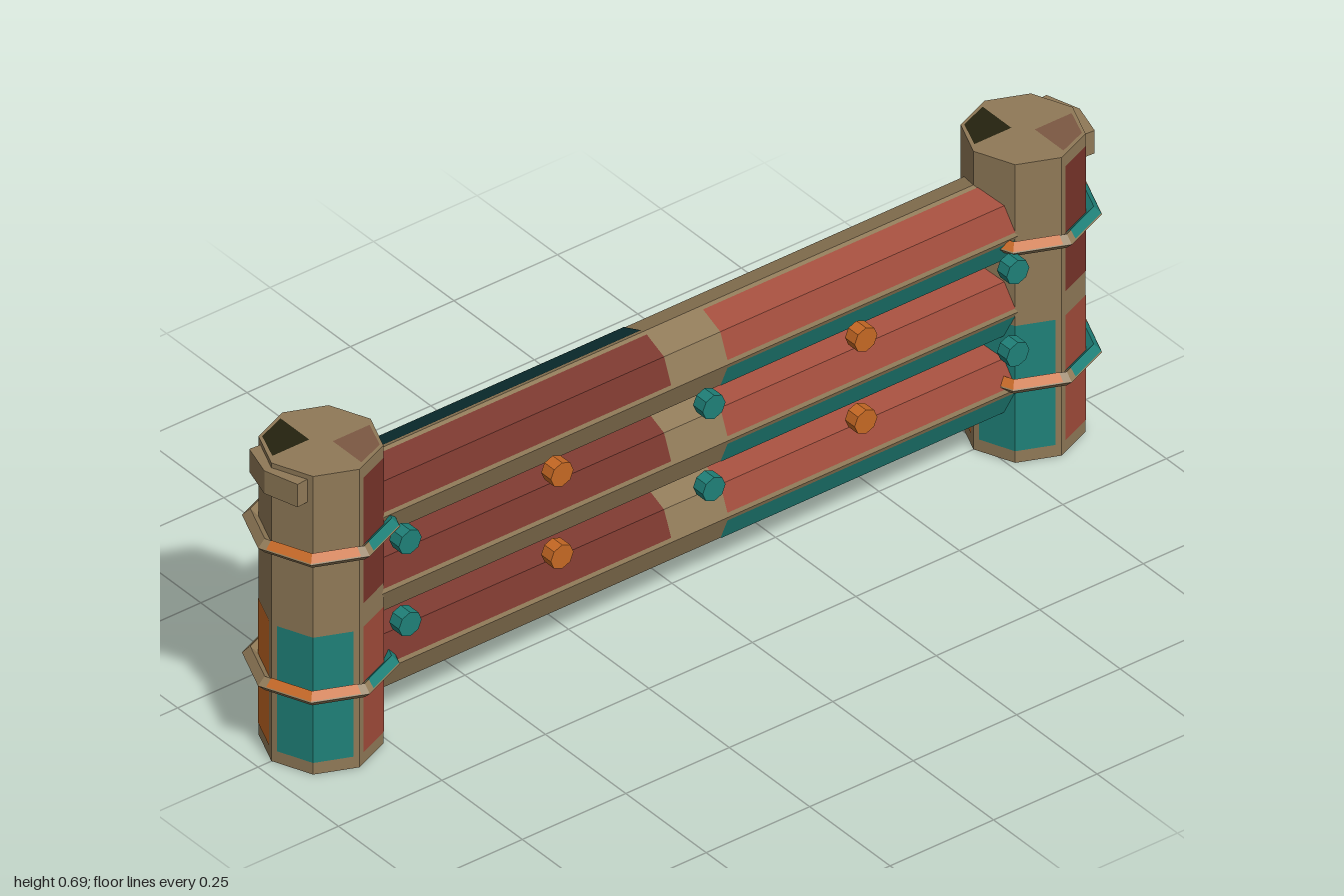
import * as THREE from 'three';

const mat = (name, color) => {
  const m = new THREE.MeshStandardMaterial({ color });
  m.name = name;
  return m;
};
const M = {
  wood: mat('wood brown', 0x8f7957),
  teal: mat('teal', 0x1f8078),
  orange: mat('orange', 0xc56824),
  red: mat('brick red', 0xa04b3a),
  rust: mat('dark rust', 0x78342a),
  deep: mat('deep teal', 0x0b2f31),
  olive: mat('dark olive', 0x25220f),
  tan: mat('muted tan', 0x7c5843),
};
const RAD = Math.PI / 180;
const MARGIN = 6; // unpainted margin of each patch, in degrees
const LIFT = 0.0012;

const add = (parent, name, geo, material) => {
  const mesh = new THREE.Mesh(geo, material);
  mesh.name = name;
  parent.add(mesh);
  return mesh;
};

const flat = (geo) => {
  const g = geo.index ? geo.toNonIndexed() : geo;
  g.computeVertexNormals();
  return g;
};

// Strip of an octagonal surface: profile [radius, y] swept from angle a0 to a1
function octPatch(profile, a0, a1) {
  const angles = [a0];
  for (let a = Math.ceil((a0 + 1) / 45) * 45; a < a1; a += 45) angles.push(a);
  angles.push(a1);
  const point = ([r, y], a) => {
    const k = r * Math.cos(22.5 * RAD) / Math.cos(((a % 45) - 22.5) * RAD);
    return [k * Math.sin(a * RAD), y, k * Math.cos(a * RAD)];
  };
  const pos = [];
  for (let j = 0; j < profile.length - 1; j++) {
    for (let i = 0; i < angles.length - 1; i++) {
      const a = point(profile[j], angles[i]), b = point(profile[j], angles[i + 1]);
      const c = point(profile[j + 1], angles[i + 1]), d = point(profile[j + 1], angles[i]);
      pos.push(...a, ...b, ...c, ...a, ...c, ...d);
    }
  }
  const g = new THREE.BufferGeometry();
  g.setAttribute('position', new THREE.Float32BufferAttribute(pos, 3));
  return flat(g);
}

// Octagonal beam along y with painted quadrants on its lower and upper half
function beam(name, r, length) {
  const g = new THREE.Group();
  g.name = name;
  add(g, name + 'Body', flat(new THREE.CylinderGeometry(r, r, length, 8)), M.wood);
  const m = length * 0.04, h = length / 2, R = r + LIFT;
  const cells = [
    [0, -1, M.teal], [1, -1, M.red], [3, -1, M.orange],
    [1, 1, M.rust], [2, 1, M.deep],
  ];
  for (const [q, half, material] of cells) {
    const y0 = half < 0 ? -h + m : m, y1 = half < 0 ? -m : h - m;
    add(g, name + 'Paint', octPatch([[R, y0], [R, y1]], q * 90 + MARGIN, q * 90 + 90 - MARGIN), material);
  }
  return g;
}

// Diamond-section octagonal band with painted quadrants
function band(y) {
  const g = new THREE.Group();
  g.name = 'band';
  const r = 0.136, t = 0.016;
  add(g, 'bandBody', flat(new THREE.TorusGeometry(r, t, 4, 8).rotateX(-Math.PI / 2)), M.wood);
  const T = t + LIFT, e = 0.84;
  const upper = [[r + T * e, T * (1 - e)], [r, T], [r - T * e, T * (1 - e)]];
  const lower = upper.map(([a, b]) => [a, -b]).reverse();
  const cells = [
    [0, upper, M.orange], [1, upper, M.teal], [2, upper, M.red],
    [2, lower, M.rust], [3, lower, M.deep],
  ];
  for (const [q, profile, material] of cells) {
    add(g, 'bandPaint', octPatch(profile, q * 90 + MARGIN, q * 90 + 90 - MARGIN), material);
  }
  g.position.y = y;
  return g;
}

// Flat patch filling one quadrant of an octagonal end face
function endSpot(parent, sx, sz, y, facing, material) {
  const pts = [[0.016, 0.016], [0.105, 0.016], [0.08, 0.08], [0.016, 0.105]];
  const shape = new THREE.Shape(pts.map(([x, z]) => new THREE.Vector2(x * sx, -z * sz * facing)));
  const geo = new THREE.ShapeGeometry(shape).rotateX(-Math.PI / 2 * facing);
  add(parent, 'endPaint', geo, material).position.y = y;
}

export function createModel() {
  const model = new THREE.Group();
  model.name = 'fence';
  const H = 0.693, postZ = 0.848;

  // Posts with bands and an outward-facing block at the top
  const blockShape = new THREE.Shape(
    [[-0.07, -0.05], [0.07, -0.05], [0.075, -0.115], [0, -0.137], [-0.075, -0.115]]
      .map(([x, y]) => new THREE.Vector2(x, y)));
  for (const side of [1, -1]) {
    const post = new THREE.Group();
    post.name = side > 0 ? 'frontPost' : 'backPost';
    post.position.z = side * postZ;
    const trunk = beam('post', 0.12, H);
    trunk.position.y = H / 2;
    post.add(trunk, band(0.188), band(0.508));
    endSpot(post, -1, 1, H + LIFT, 1, M.olive);
    endSpot(post, 1, -1, H + LIFT, 1, M.tan);
    endSpot(post, -1, -1, -LIFT / 2, -1, M.deep);
    const block = add(post, 'topBlock', flat(
      new THREE.ExtrudeGeometry(blockShape, { depth: 0.053, bevelEnabled: false })
        .rotateX(-Math.PI / 2)), M.wood);
    block.position.y = 0.629;
    block.rotation.y = side > 0 ? 0 : Math.PI;
    model.add(post);
  }

  // Three horizontal rails
  for (const y of [0.172, 0.35, 0.527]) {
    const rail = beam('rail', 0.0875, 1.7);
    rail.rotation.x = Math.PI / 2;
    rail.position.y = y;
    model.add(rail);
  }

  // Bolts along both sides, in the gaps between rails
  const boltGeo = flat(new THREE.CylinderGeometry(0.0275, 0.0275, 0.03, 8).rotateZ(Math.PI / 2));
  for (const sx of [1, -1]) {
    for (const y of [0.29, 0.481]) {
      for (let i = -2; i <= 2; i++) {
        add(model, 'bolt', boltGeo, i % 2 ? M.orange : M.teal).position.set(sx * 0.116, y, i * 0.367);
      }
    }
  }
  return model;
}
